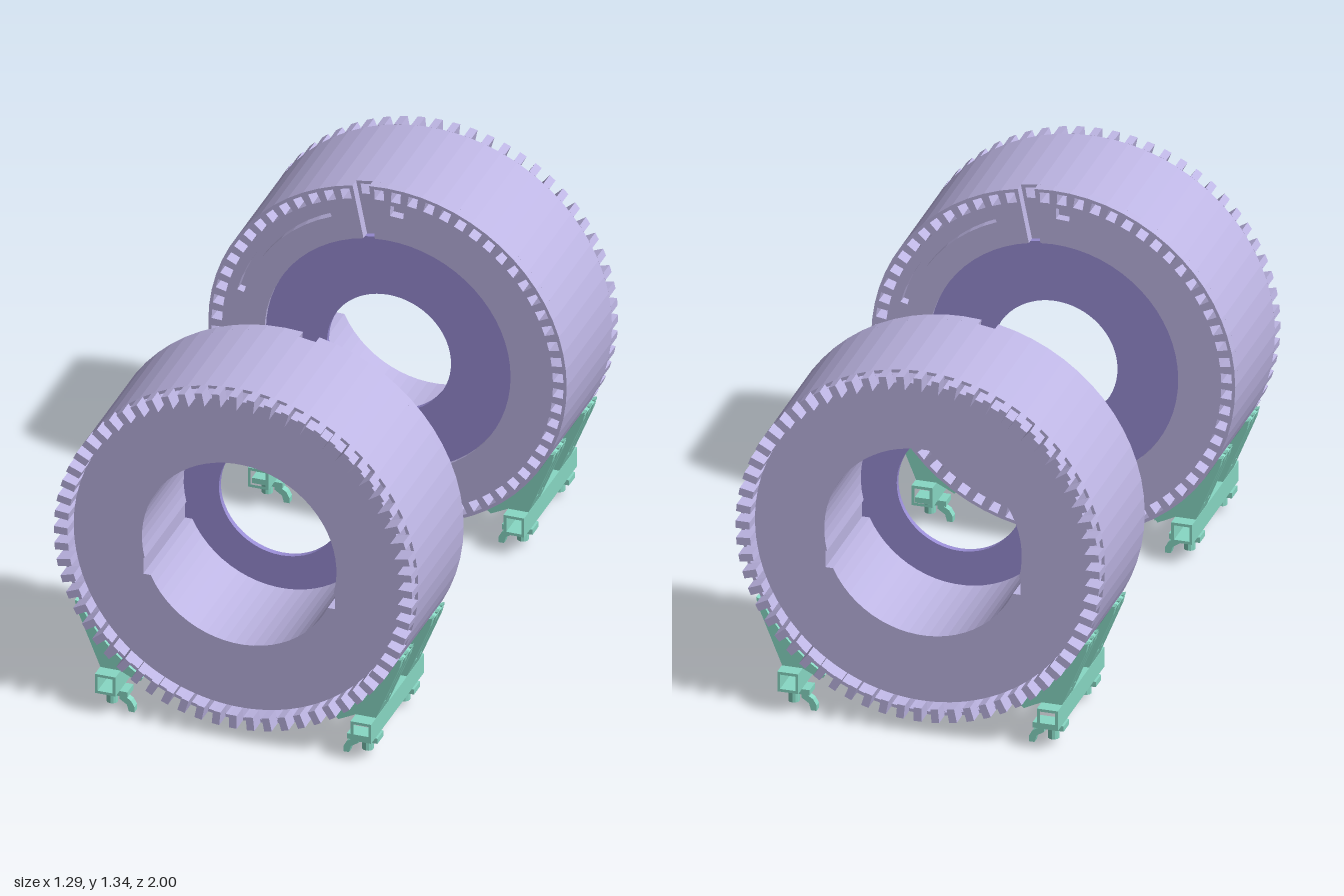
import * as THREE from 'three';

const N = 64, PITCH = Math.PI * 2 / N, CY = 0.69, R = 0.645, BORE = 0.35;
const mat = (color) => new THREE.MeshStandardMaterial({ color, flatShading: true });
const shellMat = mat(0xbdb5e3), plateMat = mat(0x9a8ed6), greenMat = mat(0x88d8c4);
const rad = THREE.MathUtils.degToRad;

// Points along an arc, angles in degrees
function arc(r, a0, a1) {
  const n = Math.max(1, Math.round(Math.abs(a1 - a0) / 5.625));
  return Array.from({ length: n + 1 }, (_, i) => {
    const a = rad(a0 + (a1 - a0) * i / n);
    return new THREE.Vector2(r * Math.cos(a), r * Math.sin(a));
  });
}
const circle = (r) => arc(r, 0, 360).slice(0, -1);
const sector = (r0, r1, a0, a1) => [...arc(r1, a0, a1), ...arc(r0, a1, a0)];
const poly = (s, list) => list.map(([x, y]) => new THREE.Vector2(s * x, y));

// Square channel between two neighbouring modules
function channel(i) {
  const a = (i + 0.5) * PITCH, o = new THREE.Vector2();
  return [[0.595, -0.017], [0.633, -0.017], [0.633, 0.017], [0.595, 0.017]]
    .map(([x, y]) => new THREE.Vector2(x, y).rotateAround(o, a));
}

// Flat outline extruded from z0 to z1
function slab(name, outline, holes, z0, z1, material) {
  const shape = new THREE.Shape(outline);
  shape.holes = holes.map((h) => new THREE.Path(h));
  const geo = new THREE.ExtrudeGeometry(shape, { depth: z1 - z0, bevelEnabled: false });
  geo.translate(0, 0, z0);
  const mesh = new THREE.Mesh(geo, material);
  mesh.name = name;
  return mesh;
}

function box(name, w, h, d, x, y, z, material) {
  const mesh = new THREE.Mesh(new THREE.BoxGeometry(w, h, d), material);
  mesh.name = name;
  mesh.position.set(x, y, z);
  return mesh;
}

function createDrum() {
  const drum = new THREE.Group();
  drum.name = 'drum';
  drum.position.y = CY;
  const channels = Array.from({ length: N }, (_, i) => channel(i));

  // Main body, its bore has two small side notches
  const bore = [
    ...arc(BORE, -13.7, 193.7), ...poly(-1, [[0.345, -0.083], [0.345, -0.145]]),
    ...arc(BORE, 204.5, 335.5), ...poly(1, [[0.345, -0.145], [0.345, -0.083]]),
  ];
  drum.add(slab('drumBody', circle(R), [bore, ...channels], -0.94, -0.535, shellMat));

  // Inner rim with a one-module gap near the top and shallow grooves
  const notch = Math.floor(rad(98.4) / PITCH);
  const grooves = [sector(0.535, 0.56, 112, 165), sector(0.54, 0.58, 84, 89)];
  drum.add(slab('innerRim', sector(0.443, R, 101.25, 455.9),
    [...channels.filter((_, i) => i !== notch), ...grooves], -0.535, -0.5, shellMat));

  // Recessed end plate
  drum.add(slab('endPlate', circle(0.443), [circle(0.223)], -0.535, -0.515, plateMat));

  // Fingers around the outer end
  for (let i = 0; i < N; i++) {
    const a = i * PITCH, r = 0.62;
    const finger = box('finger', 0.05, 0.027, 0.06, r * Math.cos(a), r * Math.sin(a), -0.97, shellMat);
    finger.rotation.z = a;
    drum.add(finger);
  }
  return drum;
}

// Support on one side, s = +1 or -1
function createSupport(s) {
  const g = new THREE.Group();
  g.name = s > 0 ? 'leftSupport' : 'rightSupport';

  // Hollow square beam
  const square = (h) => poly(s, [[0.46 - h, 0.12 - h], [0.46 + h, 0.12 - h], [0.46 + h, 0.12 + h], [0.46 - h, 0.12 + h]]);
  g.add(slab('beam', square(0.037), [square(0.027)], -1, -0.485, greenMat));

  const curve = arc(R + 0.002, -57.9, -27).map((p) => new THREE.Vector2(s * p.x, p.y + CY));
  const rib = [...poly(s, [[0.588, 0.4], [0.58, 0.365], [0.495, 0.155], [0.42, 0.155], [0.36, 0.125]]), ...curve];
  const pad = sector(R + 0.001, R + 0.014, -57.9, -27).map((p) => new THREE.Vector2(s * p.x, p.y + CY));
  const saddle = poly(s, [[0.42, 0.155], [0.495, 0.155], [0.515, 0.205], [0.44, 0.205]]);

  for (const z of [-0.89, -0.59]) {
    // Ribbed cradle
    for (const dz of [-0.048, 0, 0.048]) {
      g.add(slab('cradleRib', rib, [], z + dz - 0.012, z + dz + 0.012, greenMat));
    }
    g.add(slab('cradlePad', pad, [], z - 0.06, z + 0.06, greenMat));
    g.add(slab('saddle', saddle, [], z - 0.06, z + 0.06, greenMat));
  }
  g.add(box('tieRod', 0.016, 0.016, 0.4, s * 0.5, 0.25, -0.74, greenMat));

  const hook = poly(s, [[0.43, 0.068], [0.388, 0.042], [0.376, 0.02], [0.376, 0], [0.396, 0], [0.403, 0.025], [0.43, 0.043]]);
  for (const z of [-0.93, -0.575]) {
    // Foot plate, stub and hooked leg
    g.add(box('footPlate', 0.11, 0.02, 0.06, s * 0.45, 0.073, z, greenMat));
    const stub = new THREE.Mesh(new THREE.CylinderGeometry(0.02, 0.02, 0.045, 12), greenMat);
    stub.name = 'footStub';
    stub.position.set(s * 0.46, 0.045, z);
    g.add(stub);
    g.add(slab('footHook', hook, [], z - 0.013, z + 0.013, greenMat));
  }
  return g;
}

export function createModel() {
  const model = new THREE.Group();
  model.name = 'twinDrums';
  // The two ends are the same assembly turned half round
  for (const [name, turn] of [['backEnd', 0], ['frontEnd', Math.PI]]) {
    const end = new THREE.Group();
    end.name = name;
    end.add(createDrum(), createSupport(1), createSupport(-1));
    end.rotation.y = turn;
    model.add(end);
  }
  return model;
}
